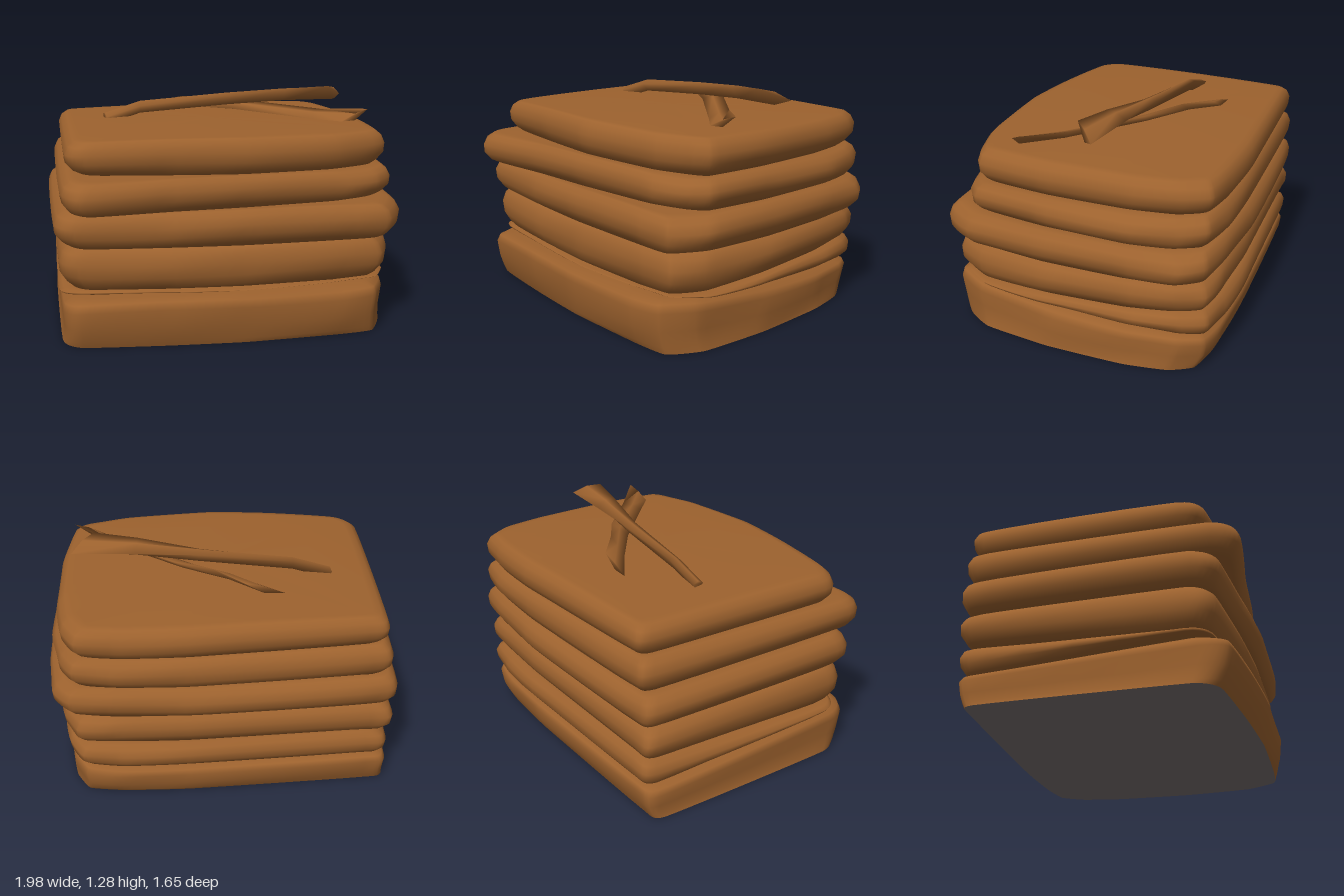
import * as THREE from 'three';

const SEGMENTS = 90;

// Shared outline [x, z] in unit extents, clockwise from the back left corner
const OUTLINE = [
  [-1, -0.7], [-0.88, -0.8], [0.15, -0.97], [0.56, -1], [0.78, -0.98], [0.88, -0.82], [0.95, -0.5], [1, 0.1],
  [0.99, 0.65], [0.89, 0.9], [0.66, 0.95], [0.1, 1], [-0.35, 0.99], [-0.82, 0.95], [-0.93, 0.78],
];

// Side extents of each layer, how far its front corners are pulled forward, and its ripple
const LAYERS = [
  { left: 0.97, right: 0.91, back: 0.8, front: 0.79, pullLeft: 0, pullRight: 0, wobble: 0.006 },
  { left: 0.97, right: 0.92, back: 0.82, front: 0.71, pullLeft: 0, pullRight: 0, wobble: 0.006 },
  { left: 0.98, right: 0.945, back: 0.81, front: 0.735, pullLeft: 0, pullRight: 0, wobble: 0.006 },
  { left: 0.995, right: 0.99, back: 0.83, front: 0.765, pullLeft: 0, pullRight: 0.02, wobble: 0.006 },
  { left: 0.95, right: 0.95, back: 0.82, front: 0.72, pullLeft: 0.14, pullRight: -0.09, wobble: 0.006 },
  { left: 0.92, right: 0.915, back: 0.82, front: 0.68, pullLeft: 0, pullRight: -0.1, wobble: 0.003 },
];

// Seams between the layers; the second layer pinches out towards the front
const SEAMS = [
  () => 0,
  (x, z) => 0.24 + 0.065 * z + 0.015 * x,
  (x, z) => 0.328 - 0.038 * z,
  () => 0.54,
  (x, z) => 0.73 + 0.01 * z,
  (x) => 0.91 - 0.01 * x,
  (x, z) => 1.112 - 0.02 * (x * x + z * z) + 0.005 * z,
];

// Edge profiles: [height fraction, scale of x, scale of z if different]
const FOLDED = [[0, 0], [0, 0.6], [0, 0.925], [0.12, 0.96], [0.35, 0.995], [0.62, 1], [0.85, 0.98], [0.98, 0.945], [1, 0.9], [1, 0.6], [1, 0]];
const GROUND = [[0, 1, 0.935], [0.12, 0.995, 0.955], [0.4, 0.99, 0.985], [0.75, 1], [0.9, 0.985], [1, 0.93], [1, 0.6], [1, 0]];
const UNDERSIDE = [[0, 0], [0, 1, 0.935]];

function makeGeometry(pos, index) {
  const g = new THREE.BufferGeometry();
  g.setAttribute('position', new THREE.Float32BufferAttribute(pos, 3));
  g.setIndex(index);
  g.computeVertexNormals();
  return g;
}

// Nearly straight sides with slightly softened corners
function layerCurve({ left, right, back, front, pullLeft, pullRight }) {
  return new THREE.CatmullRomCurve3(OUTLINE.map(([x, z]) => {
    const amount = z < 0.7 ? 0 : THREE.MathUtils.clamp(x < 0 ? (-x - 0.1) / 0.7 : (x - 0.45) / 0.44, 0, 1);
    const pull = amount * (x < 0 ? pullLeft : pullRight);
    return new THREE.Vector3(x * (x < 0 ? left : right), 0, z * (z < 0 ? back : front) + pull);
  }), true, 'catmullrom', 0.2);
}

// Skin of layer n through horizontal rings
function loft(n, rings) {
  const curve = layerCurve(LAYERS[n]), wobble = LAYERS[n].wobble, seed = n * 1.7;
  const pos = [], index = [];
  rings.forEach(([t, sx, sz = sx], k) => {
    for (let i = 0; i < SEGMENTS; i++) {
      const p = curve.getPoint(i / SEGMENTS), a = (i / SEGMENTS) * Math.PI * 2;
      const ripple = wobble * Math.sin(Math.PI * t) * (Math.sin(a * 5 + seed * 2) + Math.sin(a * 9 + seed + k * 0.7) * 0.6);
      const x = p.x * (sx + ripple), z = p.z * (sz + ripple);
      const low = SEAMS[n](x, z), high = SEAMS[n + 1](x, z);
      const sag = t > 0 && t < 1 ? wobble * 1.2 * Math.sin(a * 4 + seed * 3) : 0;
      pos.push(x, low + (high - low) * t + sag, z);
    }
  });
  for (let k = 0; k < rings.length - 1; k++)
    for (let i = 0; i < SEGMENTS; i++) {
      const a = k * SEGMENTS + i, b = k * SEGMENTS + (i + 1) % SEGMENTS;
      index.push(b, a, a + SEGMENTS, b, a + SEGMENTS, b + SEGMENTS);
    }
  return makeGeometry(pos, index);
}

// Strap through stations of two edge points, with a lens-shaped section
function strap(stations, thickness) {
  const pos = [], index = [];
  for (const [a, b] of stations) {
    const [mx, my, mz] = a.map((v, i) => (v + b[i]) / 2);
    pos.push(...a, mx, my + thickness * 0.3, mz, ...b, mx, my - thickness, mz);
  }
  for (let k = 0; k < stations.length - 1; k++)
    for (let i = 0; i < 4; i++) {
      const a = k * 4 + i, b = k * 4 + (i + 1) % 4;
      index.push(a, b, a + 4, b, b + 4, a + 4);
    }
  const e = (stations.length - 1) * 4;
  index.push(0, 2, 1, 0, 3, 2, e, e + 1, e + 2, e, e + 2, e + 3);
  return makeGeometry(pos, index);
}

export function createModel() {
  const group = new THREE.Group();
  group.name = 'hideStack';
  const hide = new THREE.MeshStandardMaterial({ color: 0x9d622e, side: THREE.DoubleSide });
  hide.name = 'brown hide';
  const under = new THREE.MeshStandardMaterial({ color: 0x7a7070 });
  under.name = 'dark underside';
  const add = (name, geometry, material) => {
    const mesh = new THREE.Mesh(geometry, material);
    mesh.name = name;
    group.add(mesh);
  };

  // Six folded layers on a flat dark underside
  LAYERS.forEach((layer, n) => add('hideLayer' + (n + 1), loft(n, n ? FOLDED : GROUND), hide));
  add('underside', loft(0, UNDERSIDE), under);

  // Two loose straps crossed on the top
  add('upperStrap', strap([
    [[-0.64, 1.12, -0.17], [-0.62, 1.11, -0.1]],
    [[-0.42, 1.19, -0.19], [-0.42, 1.17, -0.115]],
    [[0.1, 1.22, -0.19], [0.1, 1.22, -0.11]],
    [[0.45, 1.22, -0.185], [0.45, 1.265, -0.07]],
    [[0.81, 1.215, -0.18], [0.7, 1.28, -0.04]],
  ], 0.055), hide);
  add('lowerStrap', strap([
    [[-0.37, 1.125, -0.43], [-0.15, 1.18, -0.43]],
    [[-0.16, 1.14, -0.32], [0.02, 1.2, -0.31]],
    [[0.12, 1.14, -0.15], [0.25, 1.18, -0.19]],
    [[0.55, 1.12, 0.17], [0.6, 1.165, 0.07]],
    [[0.7, 1.12, 0.29], [0.86, 1.185, 0.26]],
  ], 0.03), hide);

  return group;
}
